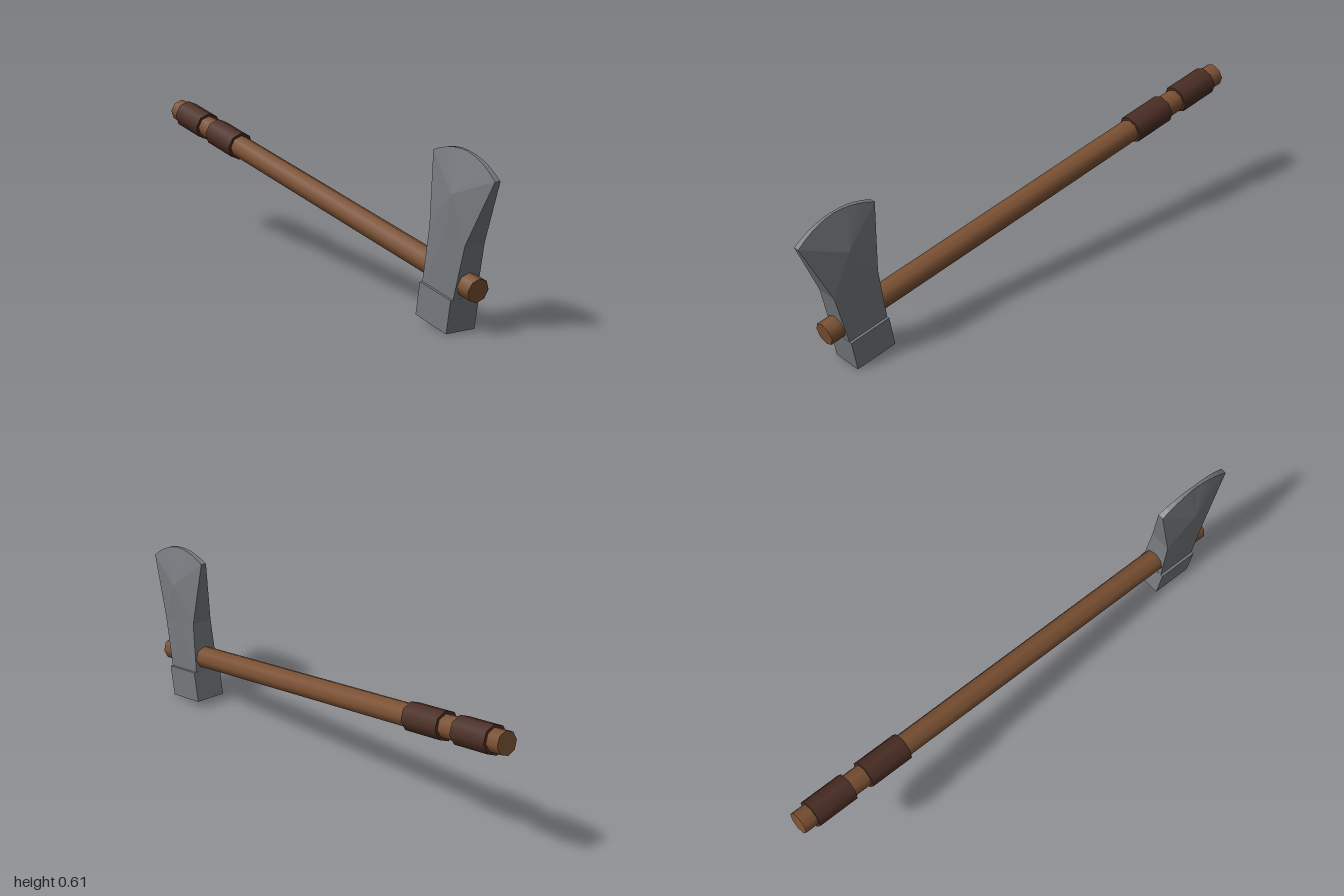
import * as THREE from 'three';

const wood = new THREE.MeshStandardMaterial({ color: 0x7a5032 });
wood.name = 'wood';
const leather = new THREE.MeshStandardMaterial({ color: 0x4a2d24 });
leather.name = 'leather';
const steel = new THREE.MeshStandardMaterial({ color: 0x75797d });
steel.name = 'steel';

// Eight-sided rod along z between two stations
function rod(name, radius, zFront, zBack, material) {
  const geometry = new THREE.CylinderGeometry(radius, radius, zFront - zBack, 8);
  geometry.rotateX(Math.PI / 2);
  const mesh = new THREE.Mesh(geometry, material);
  mesh.name = name;
  mesh.position.z = (zFront + zBack) / 2;
  return mesh;
}

// Faceted wedge: flat neck, a ridge point on each cheek, fanned out to a curved edge
function bladeGeometry() {
  const P = (x, y, z) => new THREE.Vector3(x, y, z);
  const positions = [];
  const tri = (...corners) => corners.forEach((p) => positions.push(p.x, p.y, p.z));
  const flip = (p) => P(-p.x, p.y, p.z);
  const both = (a, b, c) => {
    tri(a, b, c);
    tri(flip(a), flip(c), flip(b));
  };

  const steps = 10;
  const arc = [];
  for (let i = 0; i <= steps; i++) {
    const u = (2 * i) / steps - 1;
    arc.push(P(0.005 + 0.006 * Math.abs(u), 0.435 - 0.049 * u * u, 0.162 * u));
  }
  const ridge = P(0.048, 0.29, 0);
  const neckFront = P(0.041, 0.145, 0.095);
  const neckMid = P(0.05, 0.145, 0);
  const neckBack = P(0.041, 0.145, -0.095);
  const baseFront = P(0.05, -0.06, 0.083);
  const baseMid = P(0.05, -0.06, 0);
  const baseBack = P(0.05, -0.06, -0.083);

  // Cheeks
  const fan = [...arc, neckFront, neckMid, neckBack, arc[0]];
  for (let i = 0; i < fan.length - 1; i++) both(ridge, fan[i], fan[i + 1]);
  both(neckMid, neckFront, baseFront);
  both(neckMid, baseFront, baseMid);
  both(neckMid, baseMid, baseBack);
  both(neckMid, baseBack, neckBack);

  // Cutting edge, front, underside and back
  const rim = [...arc, neckFront, baseFront, baseBack, neckBack];
  rim.forEach((a, i) => {
    const b = rim[(i + 1) % rim.length];
    tri(a, flip(a), flip(b));
    tri(a, flip(b), b);
  });

  const geometry = new THREE.BufferGeometry();
  geometry.setAttribute('position', new THREE.Float32BufferAttribute(positions, 3));
  geometry.computeVertexNormals();
  return geometry;
}

export function createModel() {
  const model = new THREE.Group();
  model.name = 'axe';

  // Everything is aligned to the handle, which slopes up towards the back
  const axe = new THREE.Group();
  axe.name = 'tiltedAxe';
  axe.rotation.x = 0.18;
  axe.position.set(0, 0.313, 0.057);
  model.add(axe);

  axe.add(rod('handle', 0.0435, 0.871, -1.066, wood));
  axe.add(rod('frontGripWrap', 0.054, -0.603, -0.778, leather));
  axe.add(rod('rearGripWrap', 0.054, -0.849, -1.013, leather));

  const head = new THREE.Group();
  head.name = 'axeHead';
  head.position.z = 0.728;
  axe.add(head);

  const blade = new THREE.Mesh(bladeGeometry(), steel);
  blade.name = 'blade';
  head.add(blade);

  // Hammer block below the handle
  const poll = new THREE.Mesh(new THREE.BoxGeometry(0.12, 0.12, 0.168), steel);
  poll.name = 'poll';
  poll.position.y = -0.11;
  head.add(poll);

  return model;
}
